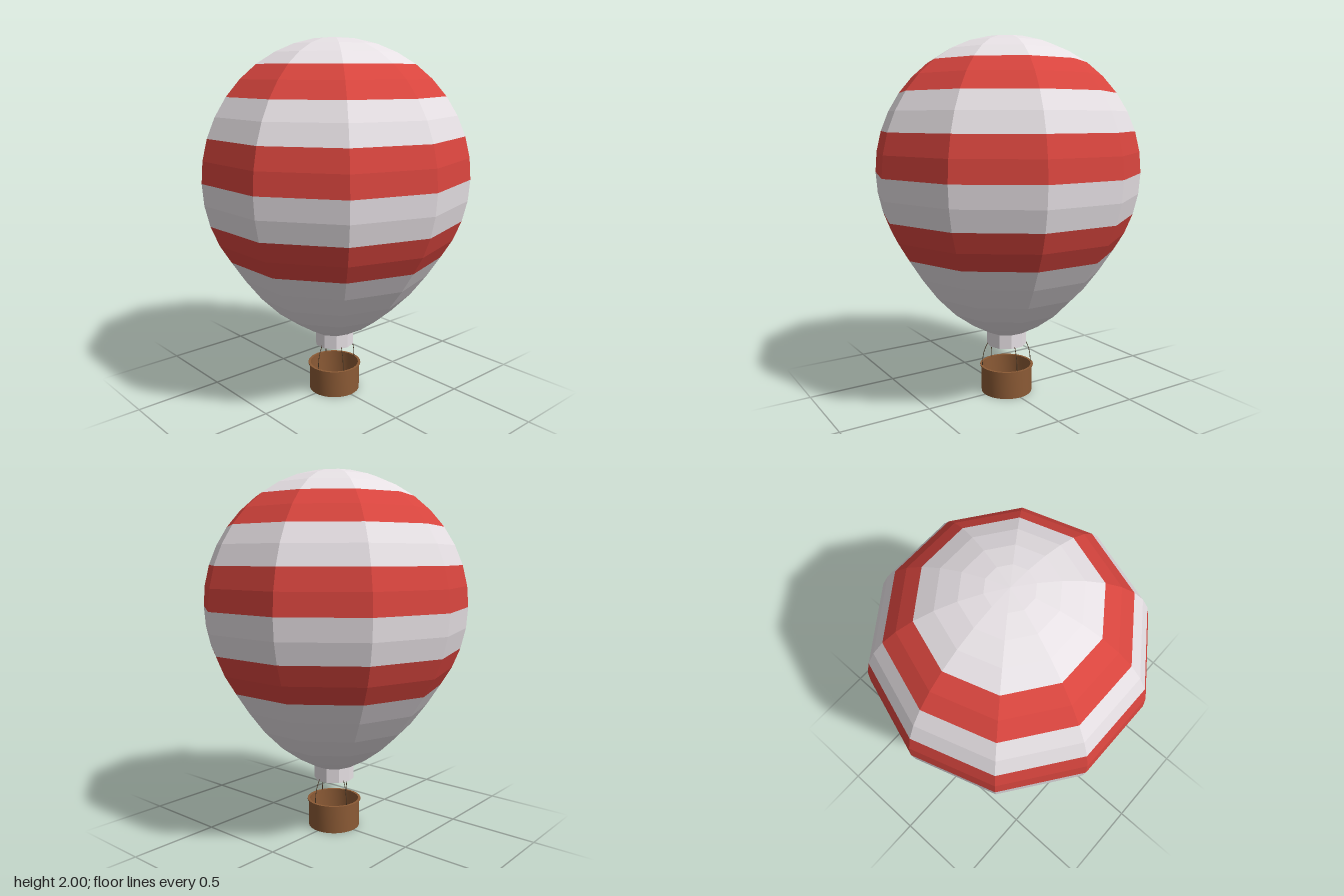
import * as THREE from 'three';
import { toCreasedNormals } from 'three/addons/utils/BufferGeometryUtils.js';

const SIDES = 10, R = 0.737, CENTRE = 1.265;
const V = (x, y) => new THREE.Vector2(x, y);

// Point on the round part of the envelope, by latitude in degrees
function dome(deg) {
  const a = THREE.MathUtils.degToRad(deg);
  return V(Math.max(0, R * Math.cos(a)), CENTRE + R * Math.sin(a));
}

export function createModel() {
  const model = new THREE.Group();
  const cloth = (color) => new THREE.MeshStandardMaterial({ color, flatShading: true, side: THREE.DoubleSide });
  const white = cloth(0xe6e0e4), red = cloth(0xd8453e);
  const wicker = new THREE.MeshStandardMaterial({ color: 0x8b5a35 });
  const ropeMat = new THREE.MeshStandardMaterial({ color: 0x4a3826 });

  function add(name, geometry, material, parent = model) {
    const mesh = new THREE.Mesh(geometry, material);
    mesh.name = name;
    parent.add(mesh);
    return mesh;
  }

  // Envelope: ten-sided bands, two rows of panels per stripe
  const envelope = new THREE.Group();
  envelope.name = 'envelope';
  model.add(envelope);
  for (let i = 0; i < 5; i++) {
    const start = -36 + i * 18;
    const points = [dome(start), dome(start + 9), dome(start + 18)];
    add('stripe' + (i + 1), new THREE.LatheGeometry(points, SIDES), i % 2 ? white : red, envelope);
  }
  add('crown', new THREE.LatheGeometry([54, 63, 72, 81, 90].map(dome), SIDES), white, envelope);
  const taper = [V(0.112, 0.36), V(0.22, 0.42), V(0.33, 0.5), V(0.435, 0.605), V(0.523, 0.72), dome(-36)];
  add('lowerEnvelope', new THREE.LatheGeometry(taper, SIDES), white, envelope);

  // Open skirt at the mouth
  add('skirt', new THREE.LatheGeometry([V(0.112, 0.28), V(0.112, 0.36)], SIDES), white);

  // Round hollow basket with a thin rim
  const wall = [V(0, 0), V(0.145, 0), V(0.145, 0.152), V(0.153, 0.152), V(0.153, 0.158),
    V(0.139, 0.158), V(0.139, 0.012), V(0, 0.012)];
  add('basket', toCreasedNormals(new THREE.LatheGeometry(wall, 32), 0.6), wicker);

  // Ropes from skirt to basket, slightly bowed
  const ropes = new THREE.Group();
  ropes.name = 'ropes';
  model.add(ropes);
  [[0.99, 0.14], [-0.99, 0.14], [-0.35, 0.94], [0.35, -0.94]].forEach(([x, z], i) => {
    const path = [[0.109, 0.29], [0.128, 0.25], [0.139, 0.2], [0.142, 0.14]]
      .map(([r, y]) => new THREE.Vector3(x * r, y, z * r));
    add('rope' + (i + 1), new THREE.TubeGeometry(new THREE.CatmullRomCurve3(path), 8, 0.002, 5), ropeMat, ropes);
  });

  return model;
}
